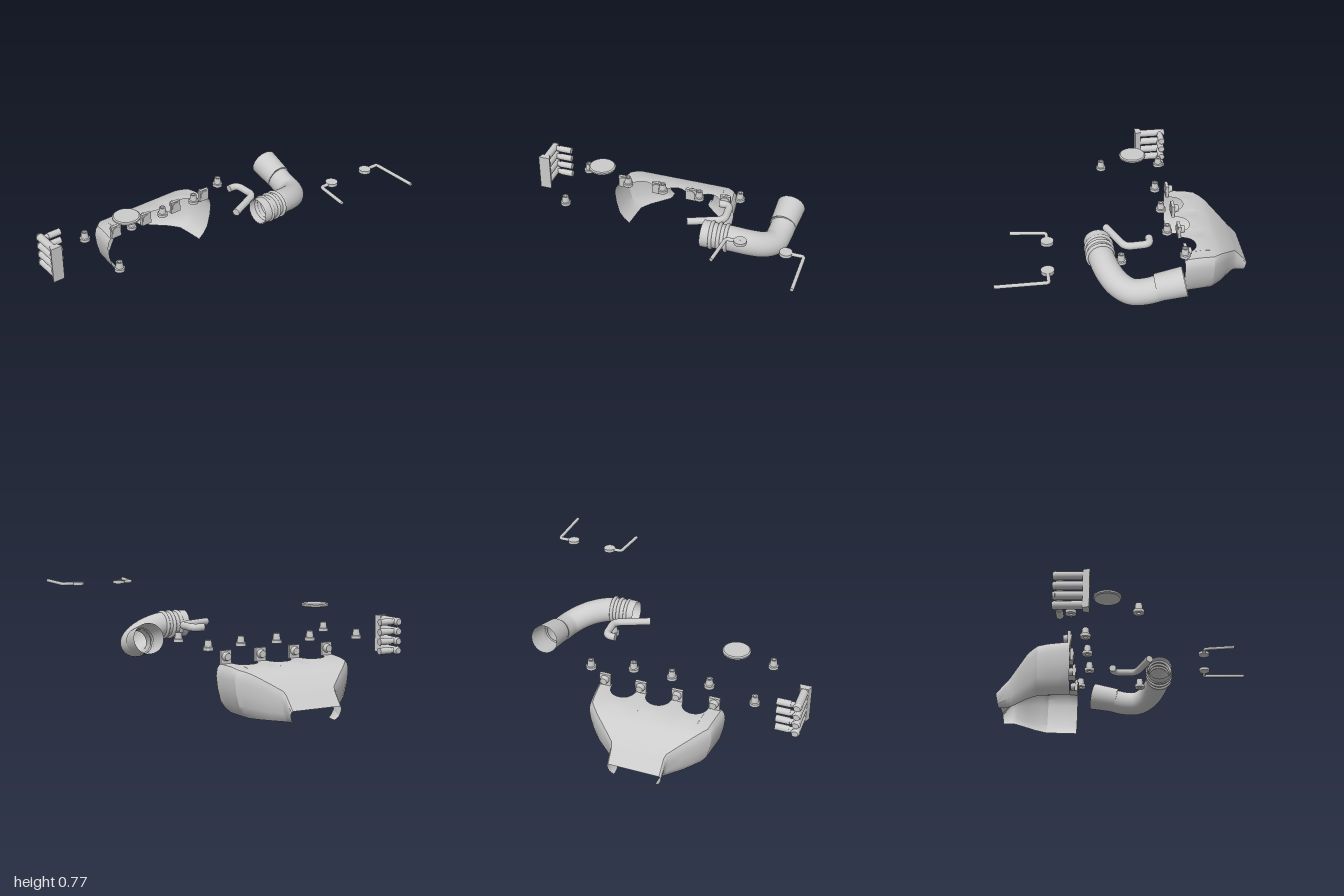
import * as THREE from 'three';
import { toCreasedNormals } from 'three/addons/utils/BufferGeometryUtils.js';

const grey = new THREE.MeshStandardMaterial({ color: 0xcccccc, side: THREE.DoubleSide });
const V = (x, y, z) => new THREE.Vector3(x, y, z);

function part(name, geo, parent, pos = [0, 0, 0], rot = [0, 0, 0]) {
  const m = new THREE.Mesh(geo, grey);
  m.name = name;
  m.position.set(...pos);
  m.rotation.set(...rot);
  parent.add(m);
  return m;
}

// cylinder or cone frustum running from a to b
function rod(name, parent, a, b, rA, rB = rA, sides = 24, open = false) {
  const dir = b.clone().sub(a);
  const m = part(name, new THREE.CylinderGeometry(rB, rA, dir.length(), sides, 1, open), parent);
  m.position.copy(a).addScaledVector(dir, 0.5);
  m.quaternion.setFromUnitVectors(V(0, 1, 0), dir.normalize());
  return m;
}

// round bar through points, bent with small corner radii and closed at both ends
function bentRod(name, parent, pts, r, corner) {
  const path = new THREE.CurvePath();
  let from = pts[0];
  for (let i = 1; i < pts.length - 1; i++) {
    const p = pts[i];
    const a = p.clone().add(pts[i - 1].clone().sub(p).setLength(corner));
    const b = p.clone().add(pts[i + 1].clone().sub(p).setLength(corner));
    path.add(new THREE.LineCurve3(from, a));
    path.add(new THREE.QuadraticBezierCurve3(a, p, b));
    from = b;
  }
  const last = pts[pts.length - 1];
  path.add(new THREE.LineCurve3(from, last));
  part(name, new THREE.TubeGeometry(path, 60, r, 16), parent);
  [[pts[0], pts[1]], [last, pts[pts.length - 2]]].forEach(([end, next]) => {
    const cap = part(name + 'End', new THREE.CircleGeometry(r, 16), parent);
    cap.position.copy(end);
    cap.quaternion.setFromUnitVectors(V(0, 0, 1), end.clone().sub(next).normalize());
  });
}

// shroud shell, open at the bottom and both ends, with scallops along the front edge
function shroudGeometry() {
  const side = [[0.76, 0.03], [0.85, 0.13], [0.93, 0.28], [0.98, 0.55], [1, 0.78], [0.985, 0.92], [0.94, 1]];
  const cols = side.map(([x, y]) => [-x, y, 0]);
  for (const c of [-0.555, 0.01, 0.565]) {
    for (let k = 0; k <= 14; k++) {
      const a = Math.PI * k / 14;
      cols.push([c - 0.195 * Math.cos(a), 1, 0.1 * Math.pow(Math.sin(a), 0.8)]);
    }
  }
  side.slice().reverse().forEach(([x, y]) => cols.push([x, y, 0]));
  // z, half width, height
  const rows = [[-0.365, 0.425, 0.32], [-0.43, 0.418, 0.32], [-0.5, 0.409, 0.317], [-0.56, 0.4, 0.308],
    [-0.595, 0.368, 0.299], [-0.63, 0.333, 0.283], [-0.685, 0.26, 0.24], [-0.74, 0.188, 0.195],
    [-0.76, 0.178, 0.172], [-0.83, 0.175, 0.09]];
  const pos = [], idx = [], n = cols.length;
  rows.forEach(([z, w, h], r) => cols.forEach(([fx, fy, cut], c) => {
    const fade = Math.max(0, (z + 0.56) / 0.195);
    const slant = r === rows.length - 1 ? 0.015 * (1 - fy) : 0;
    pos.push(-0.085 + fx * w, 0.002 + fy * (h - 0.002), z - cut * fade + slant);
    if (r && c) {
      const d = r * n + c, b = d - n;
      idx.push(b - 1, b, d - 1, b, d, d - 1);
    }
  }));
  const g = new THREE.BufferGeometry();
  g.setAttribute('position', new THREE.Float32BufferAttribute(pos, 3));
  g.setIndex(idx);
  return toCreasedNormals(g, 0.55);
}

export function createModel() {
  const model = new THREE.Group();
  const group = (name) => {
    const g = new THREE.Group();
    g.name = name;
    model.add(g);
    return g;
  };

  // manifold shroud with four mounting lugs
  const shroud = group('shroud');
  part('shell', shroudGeometry(), shroud);
  for (const x of [-0.44, -0.2, 0.04, 0.28]) {
    part('lugPlate', new THREE.BoxGeometry(0.072, 0.085, 0.02), shroud, [x, 0.36, -0.372]);
    rod('lugFace', shroud, V(x, 0.365, -0.37), V(x, 0.365, -0.357), 0.031);
    rod('lugStud', shroud, V(x, 0.365, -0.38), V(x, 0.365, -0.41), 0.029, 0.022);
  }

  // loose flanged bushings
  const bushings = group('bushings');
  const profile = [[0.012, 0.405], [0.033, 0.405], [0.033, 0.425], [0.025, 0.428], [0.02, 0.468], [0.012, 0.468], [0.012, 0.405]];
  const bushing = toCreasedNormals(new THREE.LatheGeometry(profile.map(([x, y]) => new THREE.Vector2(x, y)), 20), 0.5);
  for (const [x, z] of [[-0.685, -0.35], [-0.375, -0.28], [-0.13, -0.28], [0.125, -0.28], [0.385, -0.35], [-0.69, 0.05], [0.395, 0.05]])
    part('bushing', bushing, bushings, [x, 0, z]);

  // valve block: tapered base plate with four stubs and side spouts
  const valves = group('valveBlock');
  const base = new THREE.BoxGeometry(0.078, 0.245, 0.04);
  const p = base.attributes.position;
  for (let i = 0; i < p.count; i++) if (p.getZ(i) < 0) p.setX(i, p.getX(i) * 0.65);
  base.computeVertexNormals();
  part('basePlate', base, valves, [-0.961, 0.41, -0.245]);
  for (const y of [0.506, 0.442, 0.378, 0.316]) {
    rod('valveBody', valves, V(-0.962, y, -0.255), V(-0.962, y, -0.425), 0.025);
    rod('valveCap', valves, V(-0.962, y, -0.42), V(-0.962, y, -0.437), 0.028, 0.02);
    rod('spoutRoot', valves, V(-0.962, y, -0.4), V(-0.91, y, -0.4), 0.018);
    rod('spout', valves, V(-0.92, y, -0.4), V(-0.833, y, -0.4), 0.022);
  }

  // flat round cap
  const rim = [[0, 0.604], [0.08, 0.604], [0.088, 0.61], [0.088, 0.62], [0.08, 0.626], [0, 0.626]];
  part('cap', toCreasedNormals(new THREE.LatheGeometry(rim.map(([x, y]) => new THREE.Vector2(x, y)), 40), 0.6),
    model, [-0.5, 0, -0.142]);

  // large intake hose with ribs and a wide open sleeve
  const intake = group('intakeHose');
  const path = new THREE.CatmullRomCurve3([V(0.29, 0.505, 0.185), V(0.38, 0.505, 0.185), V(0.47, 0.502, 0.178),
    V(0.58, 0.475, 0.148), V(0.66, 0.445, 0.1), V(0.712, 0.425, 0.03), V(0.727, 0.432, -0.06), V(0.733, 0.458, -0.15)]);
  part('hose', new THREE.TubeGeometry(path, 40, 0.08, 32), intake);
  for (const x of [0.35, 0.4, 0.445])
    part('rib', new THREE.TorusGeometry(0.08, 0.012, 10, 36), intake, [x, 0.504, 0.183], [0, Math.PI / 2 + 0.08, 0]);
  part('hoseCollar', new THREE.CylinderGeometry(0.085, 0.085, 0.05, 32, 1, true), intake,
    [0.316, 0.505, 0.185], [0, 0, Math.PI / 2]);
  rod('sleeve', intake, V(0.73, 0.455, -0.115), V(0.741, 0.493, -0.282), 0.084, 0.092, 36, true);
  part('sleeveStep', new THREE.RingGeometry(0.072, 0.084, 36), intake, [0.73, 0.455, -0.115], [0.22, 0, 0]);

  // thin breather hose
  bentRod('breatherHose', group('breather'), [V(0.165, 0.515, 0.118), V(0.385, 0.515, 0.025),
    V(0.377, 0.515, -0.132), V(0.308, 0.515, -0.132)], 0.024, 0.045);

  // two rods with round heads
  const y = 0.76;
  [{ head: [0.61, 0.508], bend: [0.525, 0.508], tip: [0.498, 0.718] },
    { head: [0.883, 0.525], bend: [0.988, 0.525], tip: [0.988, 0.825] }].forEach(({ head, bend, tip }) => {
    const lever = group('lever');
    part('leverHead', new THREE.CylinderGeometry(0.038, 0.038, 0.02, 28), lever, [head[0], y, head[1]]);
    bentRod('leverRod', lever, [head, bend, tip].map(([x, z]) => V(x, y, z)), 0.011, 0.018);
  });

  return model;
}
